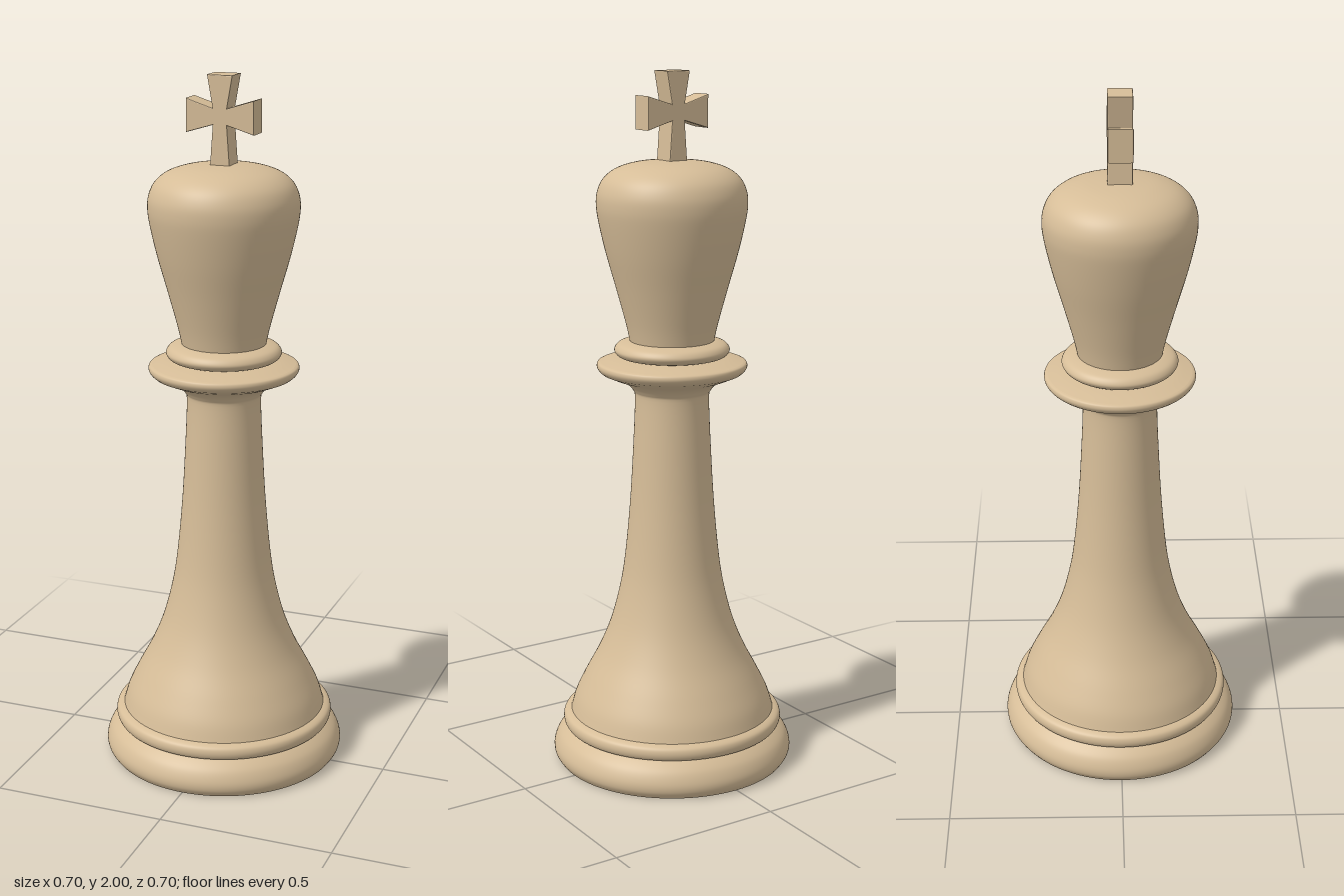
import * as THREE from 'three';

const wood = new THREE.MeshStandardMaterial({ color: 0xd6bd98 });
const SEGMENTS = 96;

// Smooth turned section: a spline through [radius, height] points, bottom to top
function turned(name, points, steps = 32) {
  const curve = new THREE.SplineCurve(points.map(([r, y]) => new THREE.Vector2(r, y)));
  const profile = curve.getPoints(steps);
  profile.forEach((p) => { p.x = Math.max(p.x, 0); });
  const mesh = new THREE.Mesh(new THREE.LatheGeometry(profile, SEGMENTS), wood);
  mesh.name = name;
  return mesh;
}

// Cross with flared arms, slightly bevelled
function makeCross() {
  const bevel = 0.003;
  const cy = 1.888;
  const outline = [
    [0.027, 1.74], [0.018, 1.868], [0.096, 1.845], [0.096, 1.931], [0.018, 1.907], [0.034, 1.997],
  ];
  const right = outline.map(([x, y]) => new THREE.Vector2(x, y - cy));
  const left = right.map((p) => new THREE.Vector2(-p.x, p.y)).reverse();
  const geometry = new THREE.ExtrudeGeometry(new THREE.Shape([...right, ...left]), {
    depth: 0.062, bevelEnabled: true, bevelSize: bevel, bevelThickness: bevel, bevelSegments: 2,
  });
  geometry.translate(0, cy, -0.031);
  const mesh = new THREE.Mesh(geometry, wood);
  mesh.name = 'cross';
  return mesh;
}

export function createModel() {
  const group = new THREE.Group();
  group.name = 'chessKing';

  // Flat underside
  const underside = new THREE.Mesh(new THREE.CircleGeometry(0.337, SEGMENTS), wood);
  underside.rotation.x = Math.PI / 2;
  underside.name = 'underside';

  group.add(
    underside,
    // Foot and the bead above it
    turned('foot', [[0.337, 0], [0.349, 0.02], [0.349, 0.045], [0.335, 0.075], [0.31, 0.098], [0.295, 0.104]]),
    turned('footBead', [[0.295, 0.1], [0.314, 0.104], [0.321, 0.12], [0.317, 0.137], [0.302, 0.146], [0.285, 0.149]]),
    // Flared stem running up into the collar's underside
    turned('stem', [
      [0.298, 0.147], [0.283, 0.195], [0.254, 0.255], [0.212, 0.335], [0.178, 0.42], [0.152, 0.52], [0.136, 0.62],
      [0.121, 0.78], [0.111, 0.95], [0.106, 1.08], [0.112, 1.108], [0.134, 1.13], [0.17, 1.145], [0.2, 1.158],
    ], 64),
    // Collar rim and its top
    turned('collarRim', [[0.2, 1.158], [0.209, 1.166], [0.214, 1.176], [0.212, 1.186], [0.204, 1.19]], 16),
    turned('collarTop', [[0.204, 1.19], [0.17, 1.197], [0.135, 1.202], [0.11, 1.206]], 12),
    // Small bead under the head
    turned('neckBead', [[0.12, 1.2], [0.15, 1.206], [0.162, 1.217], [0.163, 1.228], [0.152, 1.241], [0.128, 1.249], [0.11, 1.251]]),
    // Head widening into a domed crown
    turned('head', [
      [0.119, 1.245], [0.131, 1.3], [0.158, 1.4], [0.186, 1.5], [0.206, 1.588], [0.212, 1.635], [0.208, 1.672],
      [0.191, 1.706], [0.158, 1.732], [0.11, 1.748], [0.055, 1.755], [0, 1.757],
    ], 64),
    makeCross(),
  );
  return group;
}
